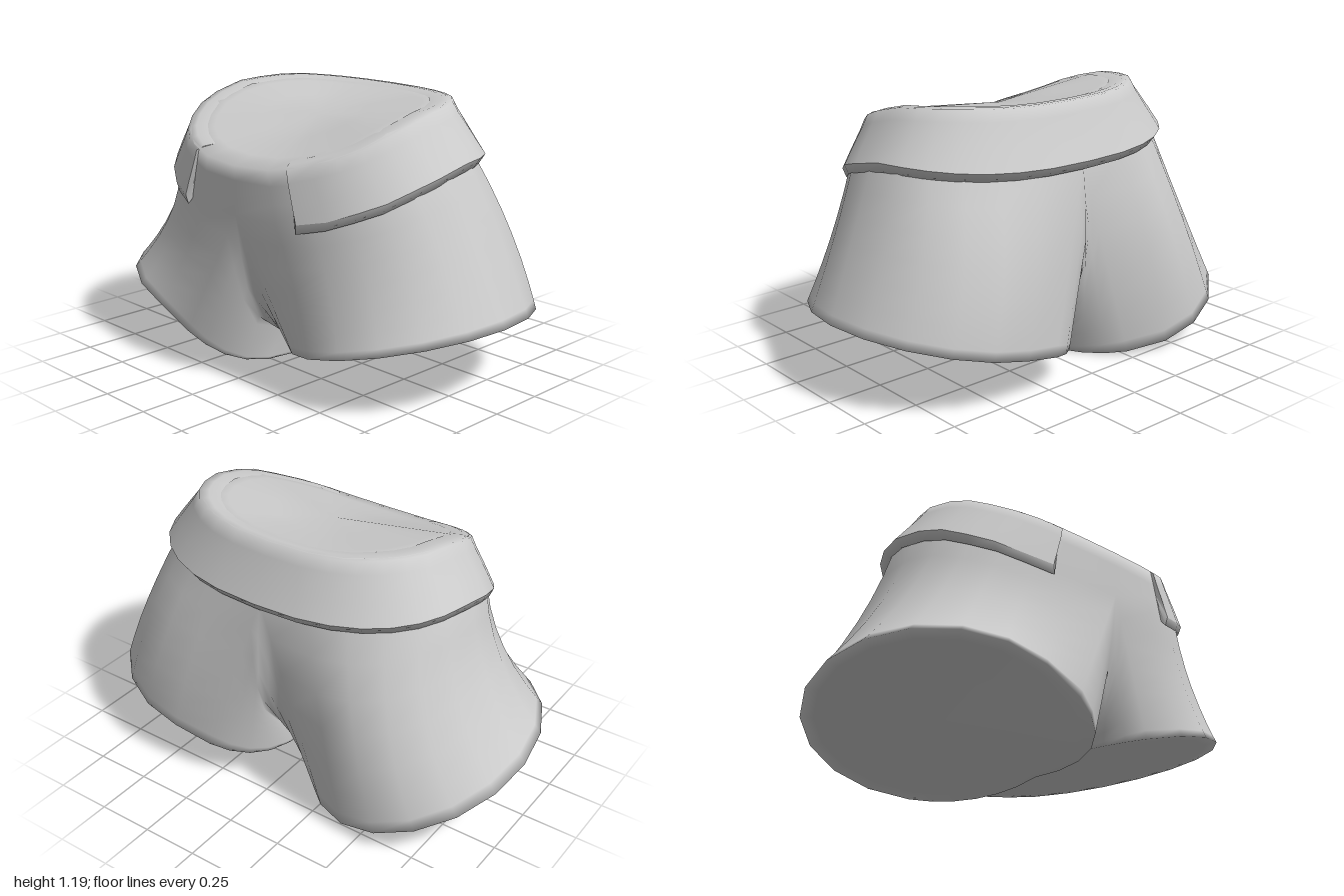
import * as THREE from 'three';
import { mergeGeometries, mergeVertices } from 'three/addons/utils/BufferGeometryUtils.js';

const CX = 0.035;   // seam line of the garment
const HALF = 12;    // segments around one half of the waist
const CENTRE = V(CX, 1.1, 0.06); // middle of the closed top
const material = new THREE.MeshStandardMaterial({ color: 0xcccccc, side: THREE.DoubleSide });

function V(x, y, z) { return new THREE.Vector3(x, y, z); }

// Signed power, squares off the waist ellipse
const squared = v => Math.abs(v) < 1e-9 ? 0 : Math.sign(v) * Math.pow(Math.abs(v), 0.83);

// Piecewise-linear lookup through [z, y] pairs
function lookup(table, z) {
  if (z <= table[0][0]) return table[0][1];
  for (let i = 1; i < table.length; i++) {
    const [z0, y0] = table[i - 1], [z1, y1] = table[i];
    if (z <= z1) return y0 + (y1 - y0) * (z - z0) / (z1 - z0);
  }
  return table[table.length - 1][1];
}
const topY = z => lookup([[-0.4, 1.185], [-0.25, 1.193], [0, 1.172], [0.2, 1.12], [0.45, 1.0], [0.53, 0.945]], z);
const bottomY = z => lookup([[-0.5, 0.92], [-0.3, 0.943], [-0.1, 0.953], [0, 0.94], [0.2, 0.89], [0.4, 0.8], [0.51, 0.73]], z);

// Point on a rounded-oval waist ring; angle 0 is front centre, PI/2 is +x
function oval(a, rx, back, front, height) {
  const z = (back + front) / 2 + squared(Math.cos(a)) * (front - back) / 2;
  return V(CX + rx * squared(Math.sin(a)), height(z), z);
}
const waist = a => oval(a, 0.7, -0.46, 0.53, z => bottomY(z) + 0.01);
const rim = a => oval(a, 0.575, -0.39, 0.53, topY);

// Skin a list of equally long rows, running top to bottom
function skin(rows, closed) {
  const n = rows[0].length, pos = [], index = [];
  rows.forEach(r => r.forEach(p => pos.push(p.x, p.y, p.z)));
  for (let i = 0; i < rows.length - 1; i++) {
    for (let j = 0; j < (closed ? n : n - 1); j++) {
      const k = (j + 1) % n, a = i * n + j, b = i * n + k, c = a + n, d = b + n;
      index.push(a, c, b, b, c, d);
    }
  }
  const g = new THREE.BufferGeometry();
  g.setAttribute('position', new THREE.Float32BufferAttribute(pos, 3));
  g.setIndex(index);
  return g;
}
function add(group, name, geometry) {
  const mesh = new THREE.Mesh(geometry, material);
  mesh.name = name;
  group.add(mesh);
}

// Closed top and upper body, down to the waist line
function torso() {
  const angles = Array.from({ length: HALF * 2 }, (_, i) => i * Math.PI / HALF);
  const disc = f => angles.map(a => CENTRE.clone().lerp(rim(a), f));
  const between = f => angles.map(a => rim(a).lerp(waist(a), f));
  return skin([disc(0), disc(0.45), disc(0.8), disc(1), between(0.3), between(0.65), between(1)], true);
}

// Crotch seam from back waist, underneath, to front waist
const seam = new THREE.CatmullRomCurve3([
  waist(Math.PI), V(CX, 0.62, -0.485), V(CX, 0.38, -0.43), V(CX, 0.23, -0.25), V(CX, 0.21, 0),
  V(CX, 0.215, 0.27), V(CX, 0.28, 0.42), V(CX, 0.47, 0.485), waist(0),
]);

// One leg: half of the waist plus the seam, lofted to a tilted, closed hem
function leg(o) {
  const IN = 12, spread = 0.5, top = [], hem = [], bulge = [];
  const hemPoint = b => {
    const s = Math.sin(b), c = Math.cos(b);
    // the inner corner on the hook side (+1 front, -1 back) is pulled out and down
    const w = 2.6 * Math.max(0, -s) ** 2 * Math.max(0, o.hook * c);
    const x = o.x + o.side * (o.rx * s - 0.04 * w);
    const z = o.z + o.rz * c + o.skew * (x - o.x) + o.hook * 0.08 * w;
    return V(x, o.y + o.slopeX * (x - o.x) + o.slopeZ * z - o.sag * w, z);
  };
  const put = (p, b, amount) => {
    const s = Math.sin(b), c = Math.cos(b);
    top.push(p);
    hem.push(hemPoint(b));
    bulge.push(V(-o.side * s * o.outer, 0, c > 0 ? -o.front * c : 0.06 * c).multiplyScalar(amount));
  };
  for (let j = 0; j <= HALF; j++) {
    const u = j / HALF;
    put(waist(o.side * Math.PI * u), -spread + u * (Math.PI + 2 * spread), Math.sin(Math.PI * u) ** 0.5);
  }
  for (let j = 1; j < IN; j++) {
    const u = j / IN;
    put(seam.getPointAt(u), Math.PI + spread + u * (Math.PI - 2 * spread), 0);
  }
  const rows = [0, 0.17, 0.34, 0.5, 0.67, 0.82, 0.94].map(t =>
    top.map((p, j) => p.clone().lerp(hem[j], t).addScaledVector(bulge[j], 4 * t * (1 - t))));
  const centre = V(o.x, o.y + o.slopeZ * o.z, o.z);
  for (const f of [1, 0.9, 0.5, 0]) rows.push(hem.map(p => centre.clone().lerp(p, f)));
  if (o.side < 0) rows.forEach(r => r.reverse());
  return skin(rows, true);
}

// Folded waistband, open at the front with two pointed flaps
function waistband() {
  const start = 0.42, n = 26;
  const angles = Array.from({ length: n + 1 }, (_, i) => start + (2 * Math.PI - 2 * start) * i / n);
  const ring = (rx, back, front, h) => angles.map(a => oval(a, rx, back, front, h));
  const outside = [
    angles.map(a => rim(a).lerp(CENTRE, 0.14).add(V(0, 0.001, 0))),
    angles.map(a => rim(a).lerp(CENTRE, 0.05).add(V(0, 0.005, 0))),
    ring(0.588, -0.405, 0.535, z => topY(z) - 0.002),
    ring(0.615, -0.422, 0.54, z => topY(z) * 0.8 + bottomY(z) * 0.2),
    ring(0.68, -0.465, 0.548, z => topY(z) * 0.42 + bottomY(z) * 0.58),
    ring(0.728, -0.503, 0.553, z => bottomY(z) + 0.03),
  ];
  const underside = [
    outside[5],
    ring(0.708, -0.475, 0.545, z => bottomY(z) - 0.012),
    ring(0.67, -0.43, 0.5, z => bottomY(z) + 0.02),
  ];
  // Flat ends of the flaps
  const end = (j, flip) => {
    const edge = [...outside, ...underside.slice(1)].map(r => r[j]);
    const mid = edge.reduce((s, p) => s.add(p), V(0, 0, 0)).divideScalar(edge.length);
    const pair = [edge, edge.map(() => mid)];
    return skin(flip ? pair.reverse() : pair, true);
  };
  const parts = [skin(outside, false), skin(underside, false), end(0, true), end(n, false)];
  parts.forEach(g => g.computeVertexNormals());
  return mergeGeometries(parts);
}

export function createModel() {
  const group = new THREE.Group();
  group.name = 'shorts';
  const right = leg({ side: -1, x: -0.5, y: 0.17, z: 0.015, rx: 0.5, rz: 0.565, slopeX: -0.28, slopeZ: 0.19,
    skew: 0.1, hook: 1, sag: 0.06, outer: 0.05, front: 0.06 });
  const left = leg({ side: 1, x: 0.515, y: 0.235, z: -0.035, rx: 0.485, rz: 0.55, slopeX: 0.24, slopeZ: 0,
    skew: 0, hook: -1, sag: 0, outer: 0, front: 0.035 });
  const body = mergeVertices(mergeGeometries([torso(), right, left]), 1e-4);
  body.computeVertexNormals();
  add(group, 'body', body);
  add(group, 'waistband', waistband());
  return group;
}
